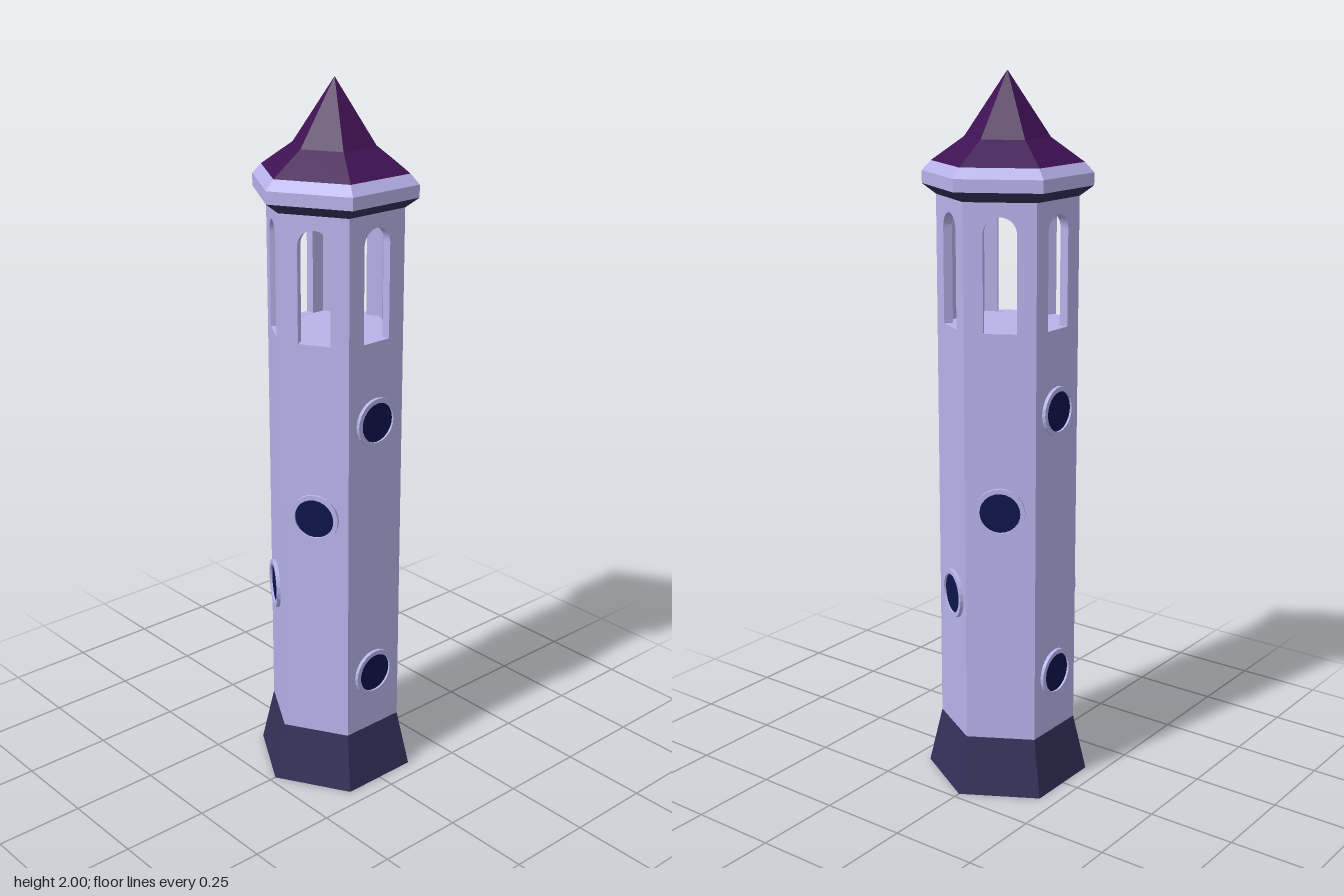
import * as THREE from 'three';

const WALL = 0.167; // distance from the axis to each wall face
const FACE = 2 * WALL * Math.tan(Math.PI / 6); // width of one face
const SILL = 1.33, EAVE = 1.675, THICK = 0.025;

const paint = (color) => new THREE.MeshStandardMaterial({ color, flatShading: true });

export function createModel() {
  const tower = new THREE.Group();
  tower.name = 'tower';
  const stone = paint(0xb8b2ea), slate = paint(0x34305a);
  const tiles = paint(0x3f1254), glass = paint(0x0d144c);

  const add = (parent, name, geometry, material) => {
    const mesh = new THREE.Mesh(geometry, material);
    mesh.name = name;
    parent.add(mesh);
    return mesh;
  };

  // Six-sided solid from [face distance, height] pairs, listed bottom to top
  const hex = (name, material, profile) => add(tower, name, new THREE.LatheGeometry(
    profile.map(([d, y]) => new THREE.Vector2(d / Math.cos(Math.PI / 6), y)), 6), material);

  // Group whose +z looks out of one of the six faces
  const onFace = (name, degrees) => {
    const g = new THREE.Group();
    g.name = name;
    g.rotation.y = Math.PI / 2 - THREE.MathUtils.degToRad(degrees);
    tower.add(g);
    return g;
  };

  // Foot, shaft with belfry floor, eaves and roof
  hex('foundation', stone, [[0, 0], [0.2, 0]]);
  hex('foot', slate, [[0.2, 0], [WALL, 0.165]]);
  hex('shaft', stone, [[WALL, 0.165], [WALL, SILL], [0, SILL]]);
  hex('eavesUnderside', slate, [[0, EAVE], [WALL, EAVE], [0.2, 1.703]]);
  hex('eaves', stone, [[0.2, 1.703], [0.2, 1.737], [0.178, 1.764]]);
  hex('roof', tiles, [[0.178, 1.764], [0.1, 1.828], [0, 2]]);

  // Belfry wall panel with an arched opening
  const panel = new THREE.Shape();
  panel.moveTo(-FACE / 2, SILL).lineTo(FACE / 2, SILL);
  panel.lineTo(FACE / 2, EAVE).lineTo(-FACE / 2, EAVE);
  const arch = new THREE.Path();
  const half = 0.045, spring = 1.592;
  arch.moveTo(half, SILL).lineTo(half, spring);
  arch.absarc(0, spring, half, 0, Math.PI, false);
  arch.lineTo(-half, SILL + 0.0005).lineTo(half, SILL + 0.0005);
  panel.holes.push(arch);
  const panelGeo = new THREE.ExtrudeGeometry(panel, { depth: THICK, bevelEnabled: false, curveSegments: 10 });
  panelGeo.translate(0, 0, WALL - THICK);
  for (let i = 0; i < 6; i++) add(onFace('belfrySide', i * 60), 'belfryWall', panelGeo, stone);

  // Round windows: a raised ring with a recessed pane
  const ring = new THREE.Shape().absarc(0, 0, 0.069, 0, Math.PI * 2, false);
  ring.holes.push(new THREE.Path().absarc(0, 0, 0.056, 0, Math.PI * 2, true));
  const ringGeo = new THREE.ExtrudeGeometry(ring, { depth: 0.012, bevelEnabled: false, curveSegments: 12 });
  const paneGeo = new THREE.CircleGeometry(0.057, 24);
  // [face angle, height, sideways shift]
  const windows = [
    [0, 1.105, 0], [0, 0.34, 0], [180, 1.105, 0], [180, 0.34, 0],
    [60, 0.837, 0], [240, 0.837, 0], [120, 0.57, -0.012], [300, 0.57, 0.012],
  ];
  for (const [angle, y, shift] of windows) {
    const g = onFace('roundWindow', angle);
    add(g, 'windowRing', ringGeo, stone).position.set(shift, y, WALL - 0.002);
    add(g, 'windowPane', paneGeo, glass).position.set(shift, y, WALL + 0.004);
  }
  return tower;
}
